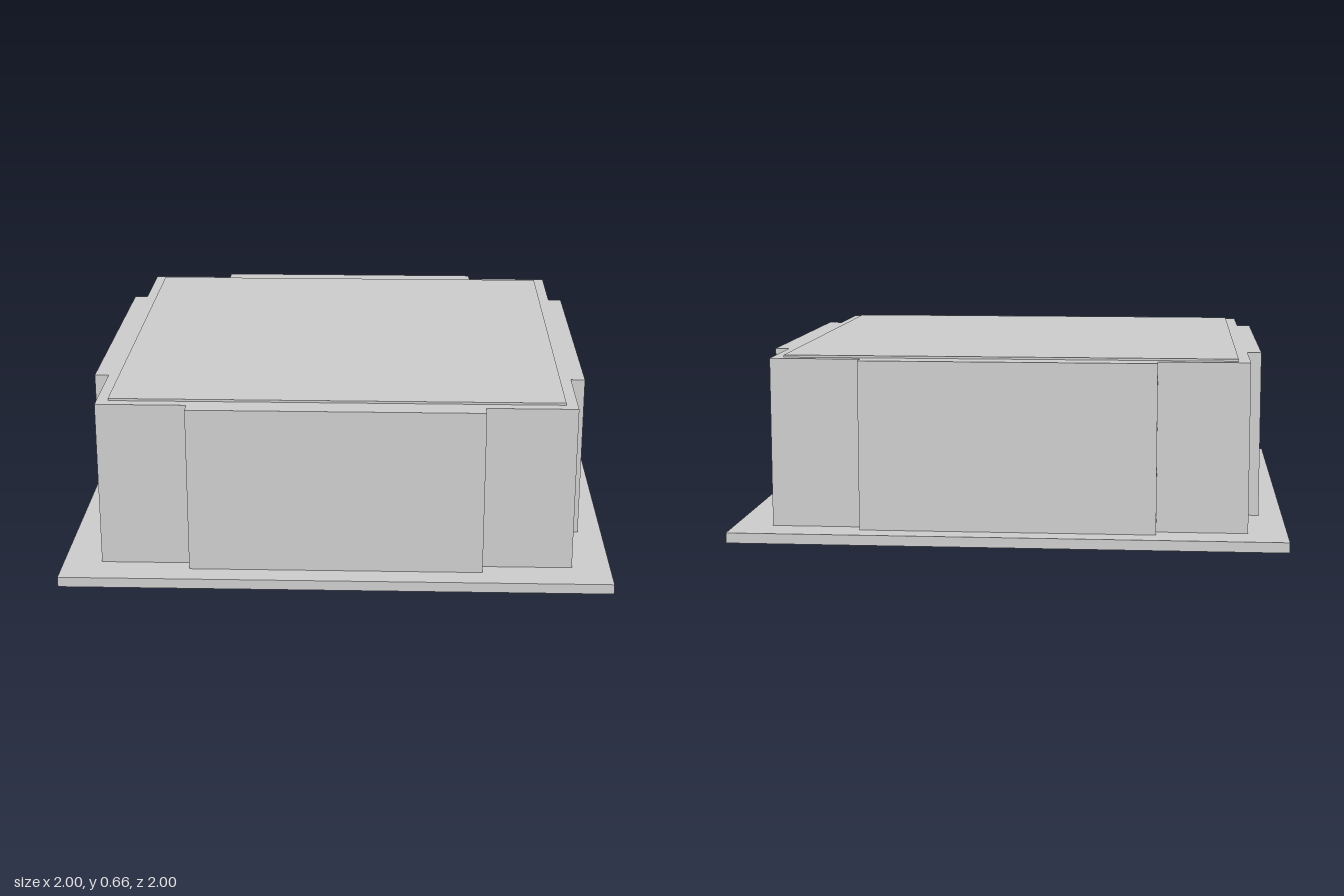
import * as THREE from 'three';

const material = new THREE.MeshStandardMaterial({ color: 0xcccccc, flatShading: true });

function slab(name, width, bottom, top) {
  const mesh = new THREE.Mesh(new THREE.BoxGeometry(width, top - bottom, width), material);
  mesh.name = name;
  mesh.position.y = (bottom + top) / 2;
  return mesh;
}

export function createModel() {
  const model = new THREE.Group();
  model.name = 'building';

  const baseTop = 0.037, wallTop = 0.65, roofTop = 0.658;
  const wall = 0.86, bay = 0.912, bayHalf = 0.533;

  // Square ground slab
  model.add(slab('groundSlab', 2, 0, baseTop));

  // Main block: one side of the outline, with its projecting bay, turned four times
  const side = [[wall, -wall], [wall, -bayHalf], [bay, -bayHalf], [bay, bayHalf], [wall, bayHalf]];
  const outline = [];
  for (let i = 0; i < 4; i++) {
    for (const [x, y] of side) {
      outline.push(new THREE.Vector2(x, y).rotateAround(new THREE.Vector2(), i * Math.PI / 2));
    }
  }
  const blockGeometry = new THREE.ExtrudeGeometry(new THREE.Shape(outline), {
    depth: wallTop - baseTop, bevelEnabled: false,
  });
  blockGeometry.rotateX(-Math.PI / 2);
  const block = new THREE.Mesh(blockGeometry, material);
  block.name = 'mainBlock';
  block.position.y = baseTop;
  model.add(block);

  // Thin raised roof panel
  model.add(slab('roofPanel', 1.636, wallTop, roofTop));

  return model;
}
